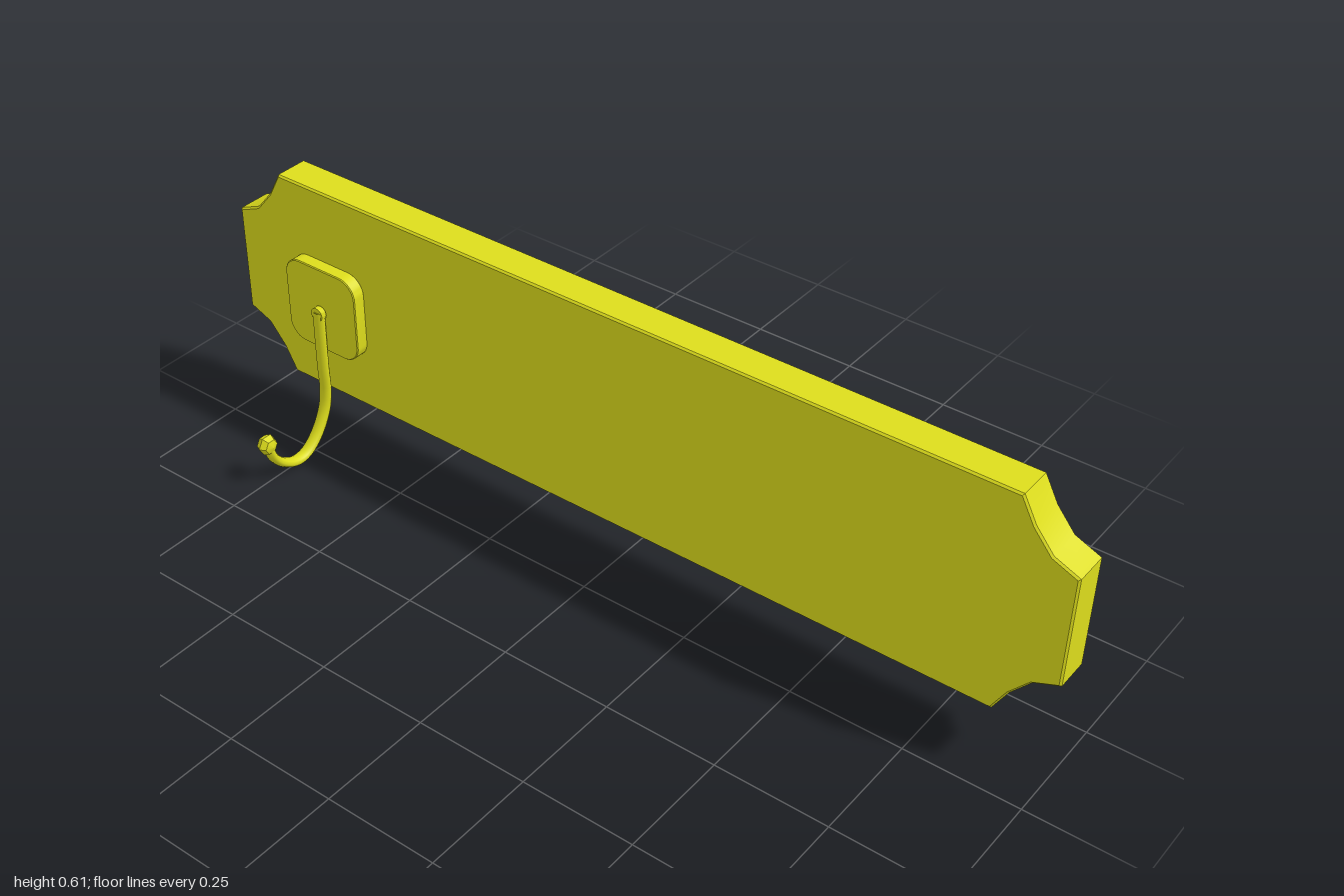
import * as THREE from 'three';
import { toCreasedNormals } from 'three/addons/utils/BufferGeometryUtils.js';

const material = new THREE.MeshStandardMaterial({ color: 0xdddd1c });

function addPart(parent, name, geometry, x = 0, y = 0, z = 0) {
  const mesh = new THREE.Mesh(geometry, material);
  mesh.name = name;
  mesh.position.set(x, y, z);
  parent.add(mesh);
  return mesh;
}

// Slab with a fine bevel kept inside the outline; its back sits at z = 0
function slab(shape, depth, bevel) {
  const geometry = new THREE.ExtrudeGeometry(shape, {
    depth: depth - 2 * bevel, curveSegments: 5, bevelThickness: bevel,
    bevelSize: bevel, bevelOffset: -bevel, bevelSegments: 1,
  });
  geometry.translate(0, 0, bevel);
  return toCreasedNormals(geometry, 0.6);
}

// Outline with a scooped notch at each corner
function boardShape() {
  const corner = [[1, 0.123], [0.945, 0.146], [0.905, 0.193], [0.875, 0.2475]];
  const points = [];
  for (const [sx, sy] of [[1, 1], [-1, 1], [-1, -1], [1, -1]]) {
    const run = corner.map(([x, y]) => new THREE.Vector2(sx * x, sy * y));
    points.push(...(sx * sy > 0 ? run : run.reverse()));
  }
  return new THREE.Shape(points);
}

function roundedRect(w, h, r) {
  const s = new THREE.Shape();
  s.absarc(w - r, h - r, r, 0, Math.PI / 2);
  s.absarc(r - w, h - r, r, Math.PI / 2, Math.PI);
  s.absarc(r - w, r - h, r, Math.PI, Math.PI * 1.5);
  s.absarc(w - r, r - h, r, Math.PI * 1.5, Math.PI * 2);
  s.closePath();
  return s;
}

export function createModel() {
  const model = new THREE.Group();
  model.name = 'wallHookBoard';

  addPart(model, 'board', slab(boardShape(), 0.082, 0.004), 0, 0.3625, -0.164);
  addPart(model, 'mountingPlate', slab(roundedRect(0.0985, 0.101, 0.042), 0.031, 0.002), -0.747, 0.342, -0.083);

  const hook = new THREE.Group();
  hook.name = 'hook';
  hook.position.x = -0.747;
  model.add(hook);

  // Straight shank running into a round bend
  const path = new THREE.CatmullRomCurve3([
    [0.343, -0.043], [0.27, -0.042], [0.2, -0.042], [0.14, -0.043], [0.095, -0.034],
    [0.045, -0.005], [0.017, 0.028], [0.011, 0.052], [0.017, 0.08], [0.042, 0.115],
    [0.07, 0.133], [0.1, 0.141],
  ].map(([y, z]) => new THREE.Vector3(0, y, z)));
  const rod = addPart(hook, 'hookRod', new THREE.TubeGeometry(path, 48, 0.0105, 10));
  rod.scale.x = 1.4;

  const cap = addPart(hook, 'rodCap', new THREE.CircleGeometry(0.0095, 10), 0, 0.343, -0.043);
  cap.rotation.x = -Math.PI / 2;
  cap.scale.x = 1.4;

  // Small round pin at the head of the shank
  const pin = addPart(hook, 'pin', new THREE.CylinderGeometry(0.016, 0.016, 0.013, 12), 0, 0.338, -0.0425);
  pin.rotation.x = Math.PI / 2;
  pin.geometry = toCreasedNormals(pin.geometry, 0.6);

  // Faceted knob at the tip
  const knob = new THREE.SphereGeometry(0.024, 6, 4);
  knob.rotateY(Math.PI / 2);
  knob.rotateZ(Math.PI / 2);
  knob.scale(0.8, 1, 1);
  addPart(hook, 'tipKnob', toCreasedNormals(knob, 0.4), 0, 0.1, 0.141);

  return model;
}
